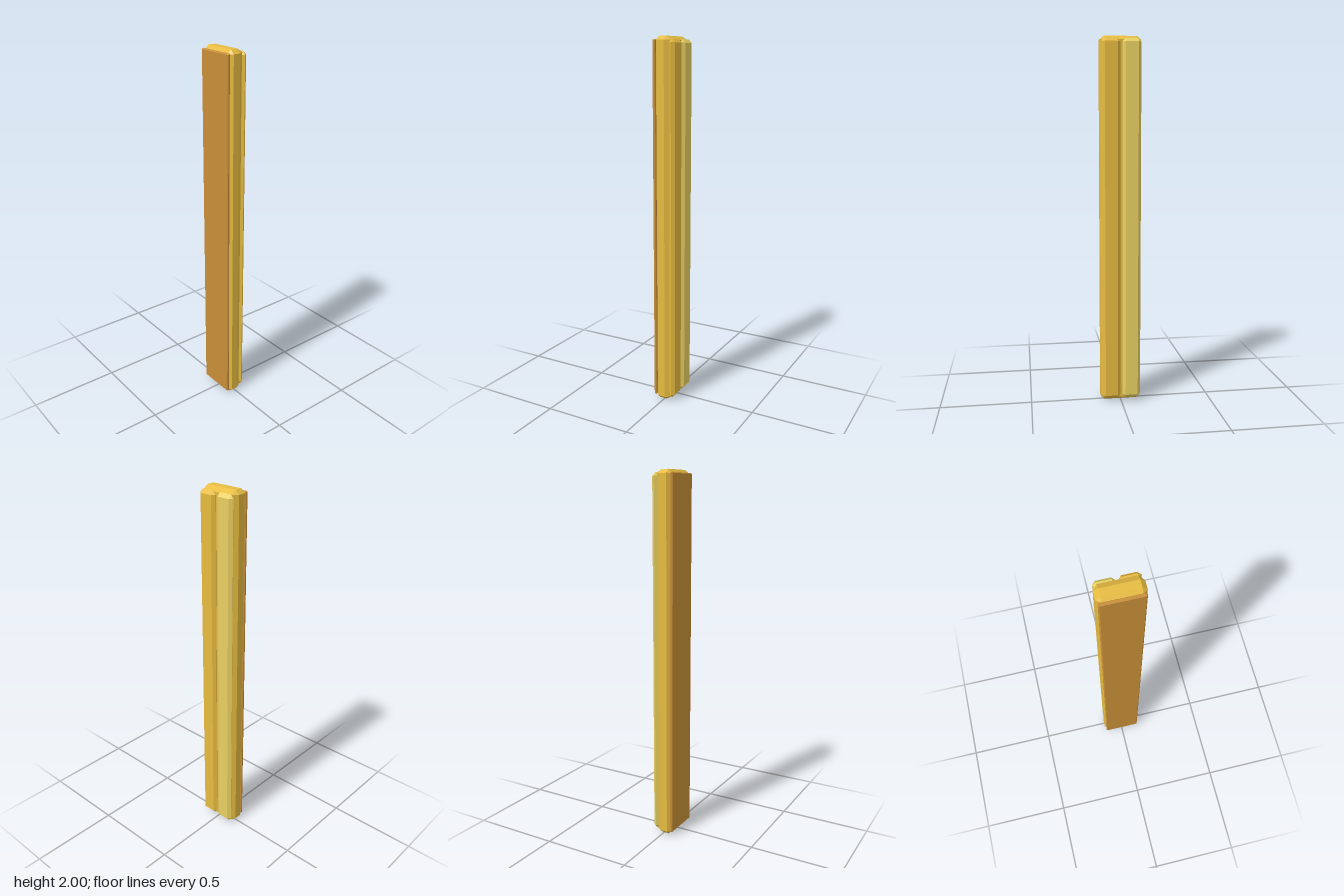
import * as THREE from 'three';
import { ConvexGeometry } from 'three/addons/geometries/ConvexGeometry.js';

// Box with chamfered edges; min/max are [x, y, z] limits, lo/hi the chamfer on each side
function chamferedBar(name, min, max, lo, hi, color) {
  const points = [];
  for (const sx of [0, 1]) for (const sy of [0, 1]) for (const sz of [0, 1]) {
    const side = [sx, sy, sz];
    const outer = side.map((s, i) => (s ? max[i] : min[i]));
    const inner = side.map((s, i) => (s ? max[i] - hi[i] : min[i] + lo[i]));
    // one point per face that meets at this corner
    for (let axis = 0; axis < 3; axis++) {
      points.push(new THREE.Vector3(...inner.map((v, i) => (i === axis ? outer[i] : v))));
    }
  }
  const material = new THREE.MeshStandardMaterial({ color, flatShading: true });
  const mesh = new THREE.Mesh(new ConvexGeometry(points), material);
  mesh.name = name;
  return mesh;
}

export function createModel() {
  const group = new THREE.Group();
  group.name = 'plankPost';

  // Thick core beam
  group.add(chamferedBar('coreBeam', [-0.111, 0, -0.042], [0.111, 2, 0.048],
    [0.022, 0.02, 0.031], [0.022, 0.02, 0.019], 0xe6bb40));

  // Thin front panel
  group.add(chamferedBar('frontPanel', [-0.105, 0.02, 0.044], [0.105, 1.985, 0.061],
    [0.005, 0.005, 0.005], [0.005, 0.005, 0.005], 0xc98f38));

  // Two narrow slats side by side on the back
  const slats = [['leftBackSlat', 0.055, 0xe6bb40], ['rightBackSlat', -0.057, 0xe8d062]];
  for (const [name, x, color] of slats) {
    group.add(chamferedBar(name, [x - 0.05, 0.02, -0.065], [x + 0.05, 1.985, -0.028],
      [0.016, 0.018, 0.017], [0.016, 0.018, 0.018], color));
  }
  return group;
}
